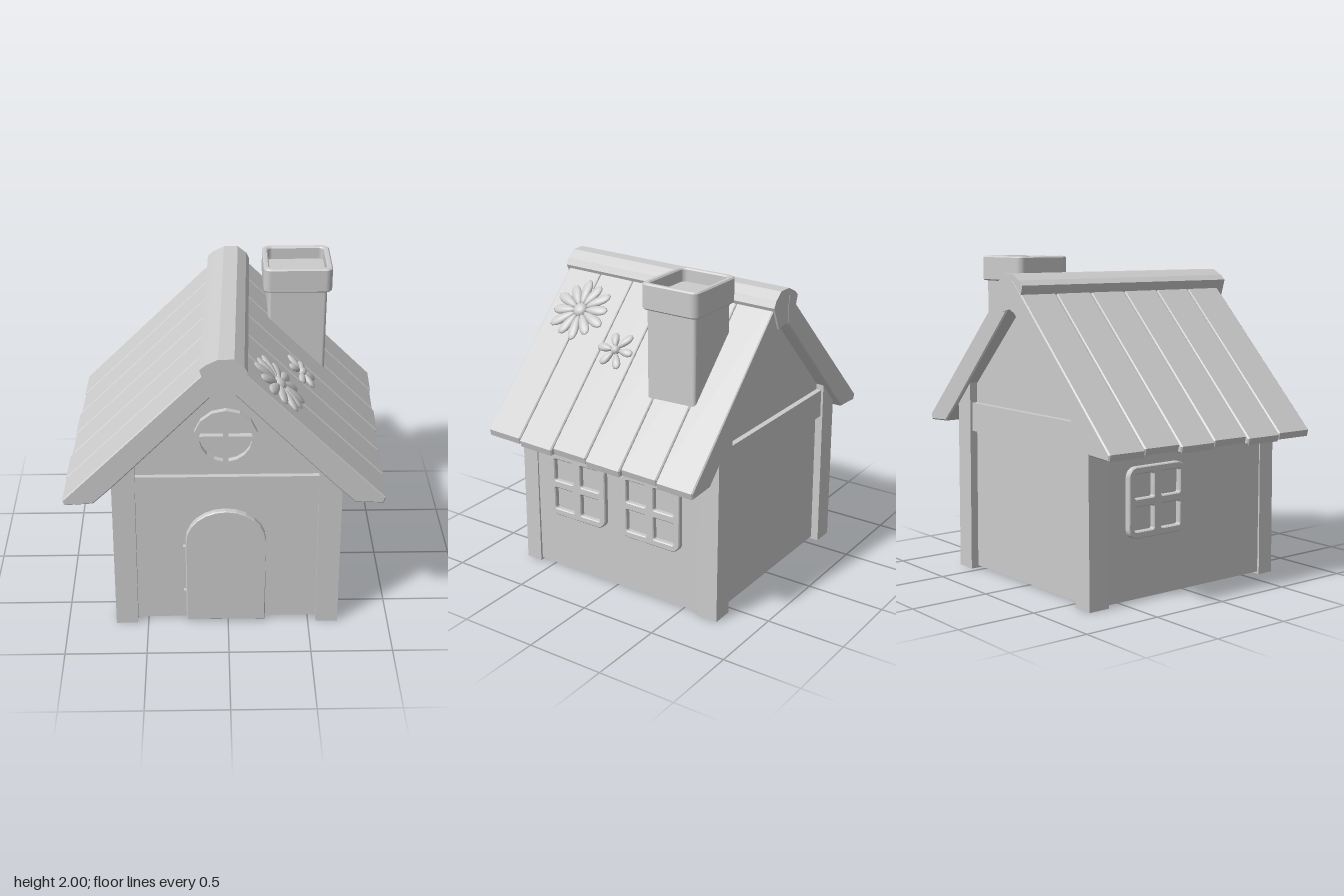
import * as THREE from 'three';

const flat = new THREE.MeshStandardMaterial({ color: 0xcccccc, flatShading: true, side: THREE.DoubleSide });
const smooth = new THREE.MeshStandardMaterial({ color: 0xcccccc });

const polygon = pts => new THREE.Shape(pts.map(p => new THREE.Vector2(...p)));

// Shape in xy, extruded from z0 to z1, with an optional inset bevel
function prism(shape, z0, z1, bevel = 0) {
  const geo = new THREE.ExtrudeGeometry(shape, {
    depth: z1 - z0 - 2 * bevel, curveSegments: 6, bevelEnabled: bevel > 0,
    bevelSize: bevel, bevelThickness: bevel, bevelOffset: -bevel, bevelSegments: 1,
  });
  return geo.translate(0, 0, z0 + bevel);
}

function roundedRect(w, h, r, cx = 0, cy = 0) {
  const s = new THREE.Shape(), x = w / 2 - r, y = h / 2 - r;
  s.absarc(cx + x, cy + y, r, 0, Math.PI / 2);
  s.absarc(cx - x, cy + y, r, Math.PI / 2, Math.PI);
  s.absarc(cx - x, cy - y, r, Math.PI, Math.PI * 1.5);
  s.absarc(cx + x, cy - y, r, Math.PI * 1.5, Math.PI * 2);
  s.closePath();
  return s;
}

// The roof is slightly askew: x slides with z
function skew(geo) {
  const p = geo.attributes.position;
  for (let i = 0; i < p.count; i++) p.setX(i, p.getX(i) - 0.036 * p.getZ(i));
  geo.computeVertexNormals();
  return geo;
}

export function createModel() {
  const model = new THREE.Group();
  const add = (name, geo, parent = model, mat = flat) => {
    const m = new THREE.Mesh(geo, mat);
    m.name = name;
    parent.add(m);
    return m;
  };
  const box = (name, x0, x1, y0, y1, z0, z1) => add(name,
    new THREE.BoxGeometry(x1 - x0, y1 - y0, z1 - z0).translate((x0 + x1) / 2, (y0 + y1) / 2, (z0 + z1) / 2));

  // Walls: hollow and open underneath
  const gable = polygon([[-0.67, 0.015], [0.655, 0.015], [0.655, 1.08], [0, 1.73], [-0.67, 1.07]]);
  add('frontWall', prism(gable, 0.635, 0.665));
  add('backWall', prism(gable, -0.7, -0.67));
  box('leftWall', 0.645, 0.67, 0.015, 1.08, -0.68, 0.65);
  box('rightWall', -0.685, -0.66, 0.015, 1.08, -0.68, 0.65);

  // Corner posts, tapering upward and cut to the roof slope
  for (const s of [-1, 1]) {
    const o = s > 0 ? 0 : -0.015;
    const post = polygon([[0.55, 0], [0.685, 0], [0.675, 1.08], [0.535, 1.22]].map(([x, y]) => [s * x + o, y]));
    add('frontPost', prism(post, 0.6, 0.71));
    add('backPost', prism(post, -0.75, -0.61));
  }
  box('frontBeam', -0.56, 0.54, 0.9, 1.08, 0.64, 0.695);
  box('backBeam', -0.56, 0.54, 0.9, 1.08, -0.735, -0.68);

  // Arched door with hinges
  const door = new THREE.Shape();
  door.moveTo(-0.26, 0.01);
  door.lineTo(0.23, 0.01);
  door.lineTo(0.23, 0.62);
  door.absellipse(-0.015, 0.61, 0.245, 0.225, 0, Math.PI);
  door.closePath();
  add('door', prism(door, 0.615, 0.7, 0.006));
  for (const y of [0.175, 0.51]) box('hinge', -0.275, -0.25, y - 0.06, y + 0.06, 0.655, 0.69);

  // Round window with four panes
  const ring = new THREE.Shape();
  for (let i = 0; i < 14; i++) {
    const a = (i + 0.5) / 14 * Math.PI * 2;
    ring[i ? 'lineTo' : 'moveTo'](0.187 * Math.cos(a), 0.187 * Math.sin(a));
  }
  ring.closePath();
  for (const sx of [-1, 1]) for (const sy of [-1, 1]) {
    const pts = [new THREE.Vector2(sx * 0.016, sy * 0.016)];
    for (let i = 0; i <= 4; i++) {
      const a = 0.105 + (Math.PI / 2 - 0.21) * i / 4;
      pts.push(new THREE.Vector2(sx * 0.155 * Math.cos(a), sy * 0.155 * Math.sin(a)));
    }
    ring.holes.push(new THREE.Path(pts));
  }
  add('roundWindow', prism(ring, 0, 0.045)).position.set(-0.015, 1.345, 0.655);

  // Side windows: rounded frames with four openings
  const frame = roundedRect(0.43, 0.425, 0.06);
  for (const x of [-0.1, 0.1]) for (const y of [-0.097, 0.097])
    frame.holes.push(roundedRect(0.145, 0.145, 0.012, x, y));
  const frameGeo = prism(frame, 0, 0.05, 0.006);
  for (const [side, z] of [[1, 0.272], [1, -0.278], [-1, -0.26]]) {
    const w = add('sideWindow', frameGeo);
    w.position.set(side > 0 ? 0.652 : -0.67, 0.597, z);
    w.rotation.y = side * Math.PI / 2;
  }

  // Roof: six planks running down each slope
  const roof = new THREE.Group();
  roof.name = 'roof';
  model.add(roof);
  const drops = [0, 0.008, -0.004, 0.006, -0.006, 0.003];
  for (const s of [-1, 1]) {
    const lift = s > 0 ? 0.015 : -0.005;
    const front = s > 0 ? 0.768 : 0.735, width = s > 0 ? 0.257 : 0.254;
    for (let i = 0; i < 6; i++) {
      const d = drops[i];
      const profile = polygon([[0.03, 1.88], [0.955 + d, 0.955 - d], [0.945 + d, 0.915 - d],
        [0.775, 0.925 - d], [0.66, 1.035], [0.02, 1.7]].map(([x, y]) => [s * x, y + lift]));
      const z = front - i * width;
      add('roofPlank', skew(prism(profile, z - width + 0.002, z - 0.002, 0.008)), roof);
    }
  }
  const cap = polygon([[-0.135, 1.84], [-0.1, 1.87], [-0.03, 1.905], [0.06, 1.905], [0.115, 1.86],
    [0.135, 1.82], [0.1, 1.74], [0.075, 1.68], [0, 1.695], [-0.08, 1.66], [-0.105, 1.74]]);
  add('ridgeCap', skew(prism(cap, -0.785, 0.78)), roof);

  // Chimney: shaft with a hollow, wider top
  const chimney = new THREE.Group();
  chimney.name = 'chimney';
  chimney.position.set(0.447, 0, -0.385);
  model.add(chimney);
  const upright = (name, shape, y0, y1, bevel) =>
    add(name, prism(shape, y0, y1, bevel).rotateX(-Math.PI / 2), chimney);
  upright('chimneyShaft', roundedRect(0.365, 0.335, 0.02), 1.22, 1.9);
  const rim = roundedRect(0.425, 0.385, 0.045);
  rim.holes.push(roundedRect(0.355, 0.315, 0.03));
  upright('chimneyRim', rim, 1.845, 2, 0.008);
  upright('chimneyBase', roundedRect(0.4, 0.36, 0.04), 1.85, 1.92);

  // Flowers lying on the left slope
  const flower = (x, y, z, petals, radius, width, turn) => {
    const g = new THREE.Group();
    g.name = 'flower';
    g.position.set(x, y, z);
    g.rotation.z = -Math.PI / 4;
    model.add(g);
    add('flowerCentre', new THREE.SphereGeometry(1, 14, 8), g, smooth).scale.set(radius * 0.22, 0.03, radius * 0.22);
    for (let i = 0; i < petals; i++) {
      const reach = radius * (i % 2 ? 0.92 : 1);
      const a = turn + i / petals * Math.PI * 2;
      // Petal: flattened ellipsoid, wider toward its tip
      const geo = new THREE.SphereGeometry(1, 12, 8);
      const p = geo.attributes.position;
      for (let k = 0; k < p.count; k++) p.setZ(k, p.getZ(k) * (0.8 + 0.3 * p.getX(k)));
      geo.scale(reach * 0.42, 0.018, width);
      geo.computeVertexNormals();
      geo.translate(reach * 0.58, 0, 0).rotateY(a);
      add('petal', geo, g, smooth);
    }
  };
  flower(0.3, 1.614, 0.525, 12, 0.215, 0.04, 0.15);
  flower(0.457, 1.472, 0.135, 6, 0.135, 0.032, 0.5);

  return model;
}
